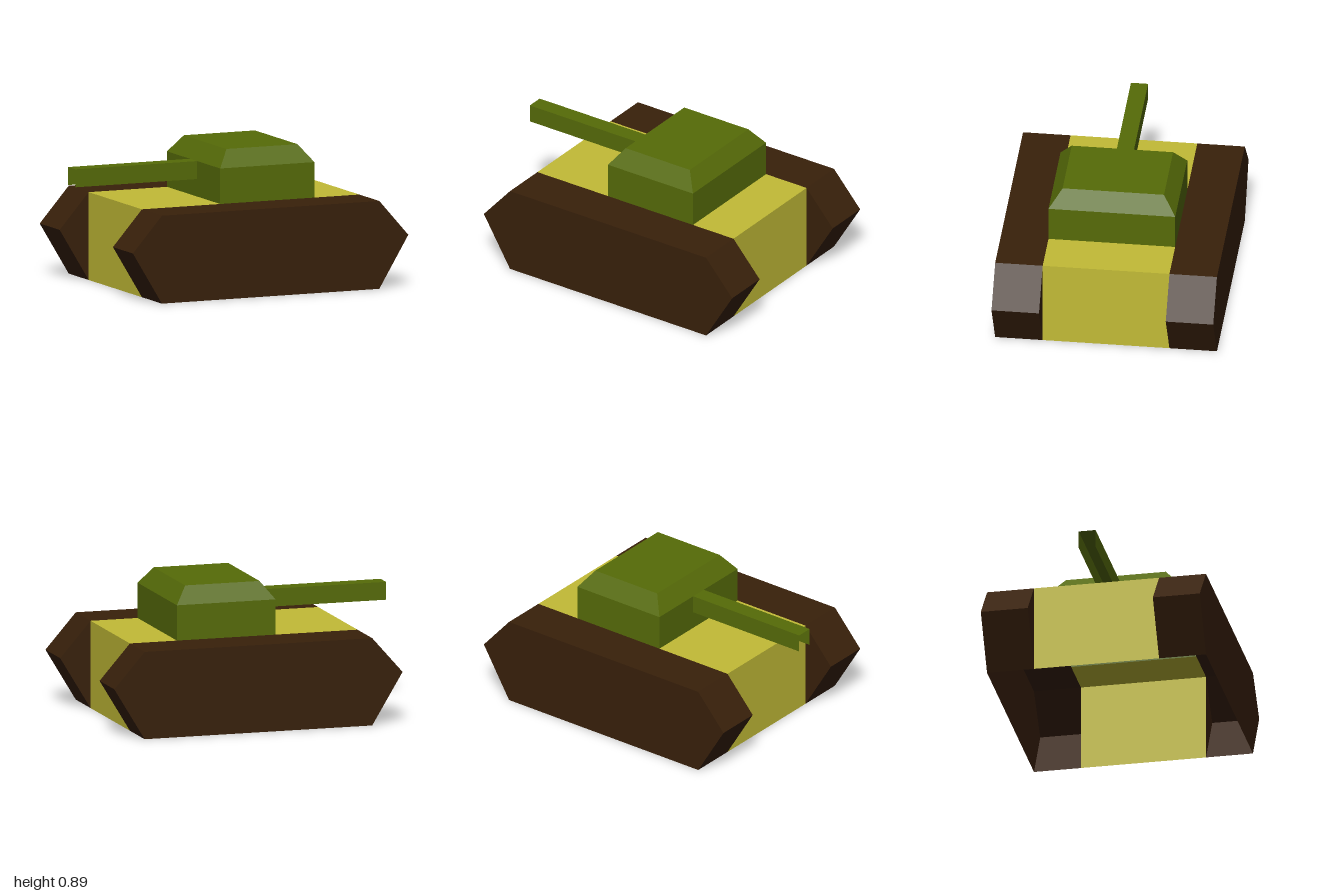
import * as THREE from 'three';

function paint(name, color) {
  const material = new THREE.MeshStandardMaterial({ color, side: THREE.DoubleSide });
  material.name = name;
  return material;
}
const trackBrown = paint('trackBrown', 0x38200a);
const hullYellow = paint('hullYellow', 0xc2bb36);
const turretGreen = paint('turretGreen', 0x566b08);

const DECK = 0.557; // height of the hull deck and track tops

// Mesh of flat convex panels, each a list of corners
function panels(parent, name, faces, material) {
  const points = [];
  for (const f of faces) {
    for (let i = 1; i + 1 < f.length; i++) points.push(...f[0], ...f[i], ...f[i + 1]);
  }
  const geometry = new THREE.BufferGeometry();
  geometry.setAttribute('position', new THREE.Float32BufferAttribute(points, 3));
  geometry.computeVertexNormals();
  const mesh = new THREE.Mesh(geometry, material);
  mesh.name = name;
  parent.add(mesh);
}

// Strip of panels joining two matching rows of corners
const strip = (a, b) => a.slice(1).map((p, i) => [a[i], p, b[i + 1], b[i]]);

// Closed horizontal ring, anticlockwise seen from above
const levelRing = (x0, x1, z, y) => [[x0, y, z], [x1, y, z], [x1, y, -z], [x0, y, -z], [x0, y, z]];

export function createModel() {
  const model = new THREE.Group();
  model.name = 'tank';

  // Tracks: pointed shells, open underneath and towards the hull,
  // with small triangles closing the ends that stick out past the hull
  const outline = [[0.8, 0], [1, 0.33], [0.8, DECK], [-0.7, DECK], [-0.9, 0.33], [-0.7, 0]];
  for (const [name, side] of [['frontTrack', 1], ['backTrack', -1]]) {
    const inner = outline.map(([x, y]) => [x, y, side * 0.4]);
    const outer = outline.map(([x, y]) => [x, y, side * 0.7]);
    const faces = [...strip(outer, inner), outer, inner.slice(0, 3), inner.slice(3)];
    if (side < 0) faces.forEach((face) => face.reverse());
    panels(model, name, faces, trackBrown);
  }

  // Hull: end plates and decks, open underneath and below the turret
  const acrossHull = (name, path) => panels(model, name, strip(
    path.map(([x, y]) => [x, y, 0.4]), path.map(([x, y]) => [x, y, -0.4])), hullYellow);
  acrossHull('gunEndHull', [[-0.16, DECK], [-0.7, DECK], [-0.7, 0]].reverse());
  acrossHull('rearEndHull', [[0.49, DECK], [0.8, DECK], [0.8, 0]]);

  // Turret: shell with sloped shoulders, open at the bottom
  const base = levelRing(-0.16, 0.49, 0.4, DECK);
  const rim = levelRing(-0.16, 0.49, 0.4, 0.782);
  const roof = levelRing(-0.08, 0.41, 0.32, 0.89);
  panels(model, 'turret', [...strip(base, rim), ...strip(rim, roof), roof.slice(0, 4)], turretGreen);

  // Gun barrel: square channel, open at the muzzle and underneath
  const gunSection = (x) => [[x, 0.668, 0.054], [x, 0.782, 0.054], [x, 0.782, -0.054], [x, 0.668, -0.054]];
  panels(model, 'gunBarrel', strip(gunSection(-0.16), gunSection(-1)), turretGreen);

  return model;
}
